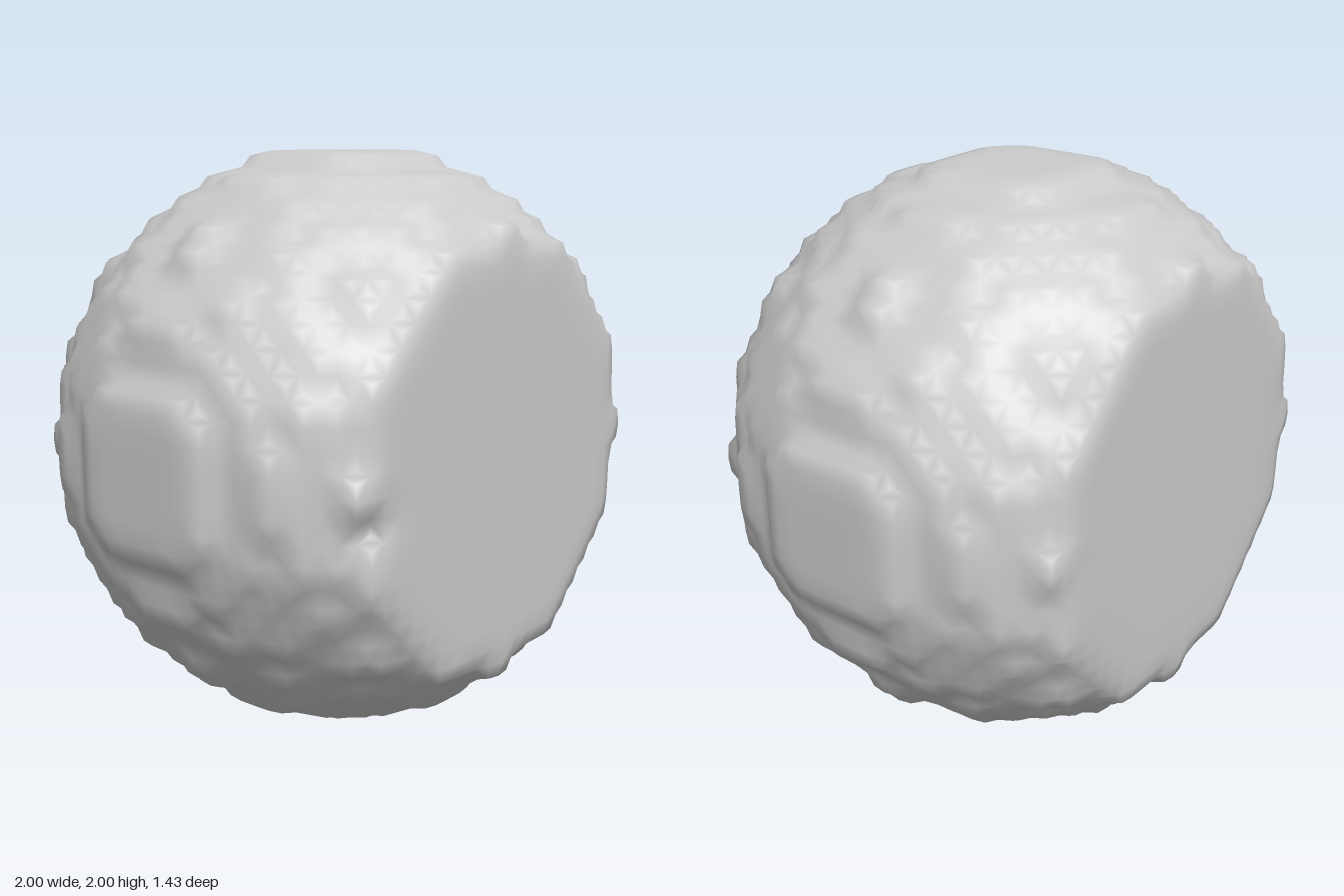
import * as THREE from 'three';

const CELL = 1 / 14;      // size of one block
const RADIUS_SQ = 201;    // squared radius in blocks
const HALF = 14;          // half extent on x and y, in blocks
const HALF_DEPTH = 10;    // flat cuts on front and back, in blocks

// Is the block with lower corner (i, j, k) part of the ball?
function isSolid([i, j, k]) {
  if (Math.abs(k + 0.5) > HALF_DEPTH) return false;
  if (i === -10 && j === -2 && k === HALF_DEPTH - 1) return false; // small pit in the front face
  return (i + 0.5) ** 2 + (j + 0.5) ** 2 + (k + 0.5) ** 2 <= RADIUS_SQ;
}

// Outer skin of the blocks, as shared points and quads
function buildSkin() {
  const points = [], quads = [], lookup = new Map();
  const pointIndex = (c) => {
    const key = c.join();
    if (!lookup.has(key)) {
      lookup.set(key, points.length);
      points.push(new THREE.Vector3(...c));
    }
    return lookup.get(key);
  };
  for (let i = -HALF; i < HALF; i++)
    for (let j = -HALF; j < HALF; j++)
      for (let k = -HALF_DEPTH; k < HALF_DEPTH; k++) {
        const cell = [i, j, k];
        if (!isSolid(cell)) continue;
        for (let axis = 0; axis < 3; axis++)
          for (const dir of [-1, 1]) {
            const next = [...cell];
            next[axis] += dir;
            if (isSolid(next)) continue;
            const quad = [[0, 0], [1, 0], [1, 1], [0, 1]].map(([u, v]) => {
              const c = [...cell];
              if (dir > 0) c[axis] += 1;
              c[(axis + 1) % 3] += u;
              c[(axis + 2) % 3] += v;
              return pointIndex(c);
            });
            quads.push(dir > 0 ? quad : quad.reverse());
          }
      }
  return { points, quads };
}

// Pull each point towards the average of its neighbours
function relax(points, quads, passes, amount) {
  const neighbours = points.map(() => new Set());
  for (const q of quads)
    q.forEach((a, n) => {
      const b = q[(n + 1) % 4];
      neighbours[a].add(b);
      neighbours[b].add(a);
    });
  for (let pass = 0; pass < passes; pass++) {
    const old = points.map((p) => p.clone());
    points.forEach((p, n) => {
      const mean = new THREE.Vector3();
      for (const m of neighbours[n]) mean.add(old[m]);
      p.lerp(mean.divideScalar(neighbours[n].size), amount);
    });
  }
}

export function createModel() {
  const group = new THREE.Group();
  group.name = 'flattenedBall';

  const { points, quads } = buildSkin();
  relax(points, quads, 2, 0.55);

  const geometry = new THREE.BufferGeometry().setFromPoints(points);
  geometry.setIndex(quads.flatMap(([a, b, c, d]) => [a, b, c, a, c, d]));
  geometry.scale(CELL, CELL, CELL);
  geometry.translate(0, 1, 0);
  geometry.computeVertexNormals();

  // Stepped, softened ball with flat front and back
  const ball = new THREE.Mesh(geometry, new THREE.MeshStandardMaterial({ color: 0xcccccc }));
  ball.name = 'ball';
  group.add(ball);
  return group;
}
